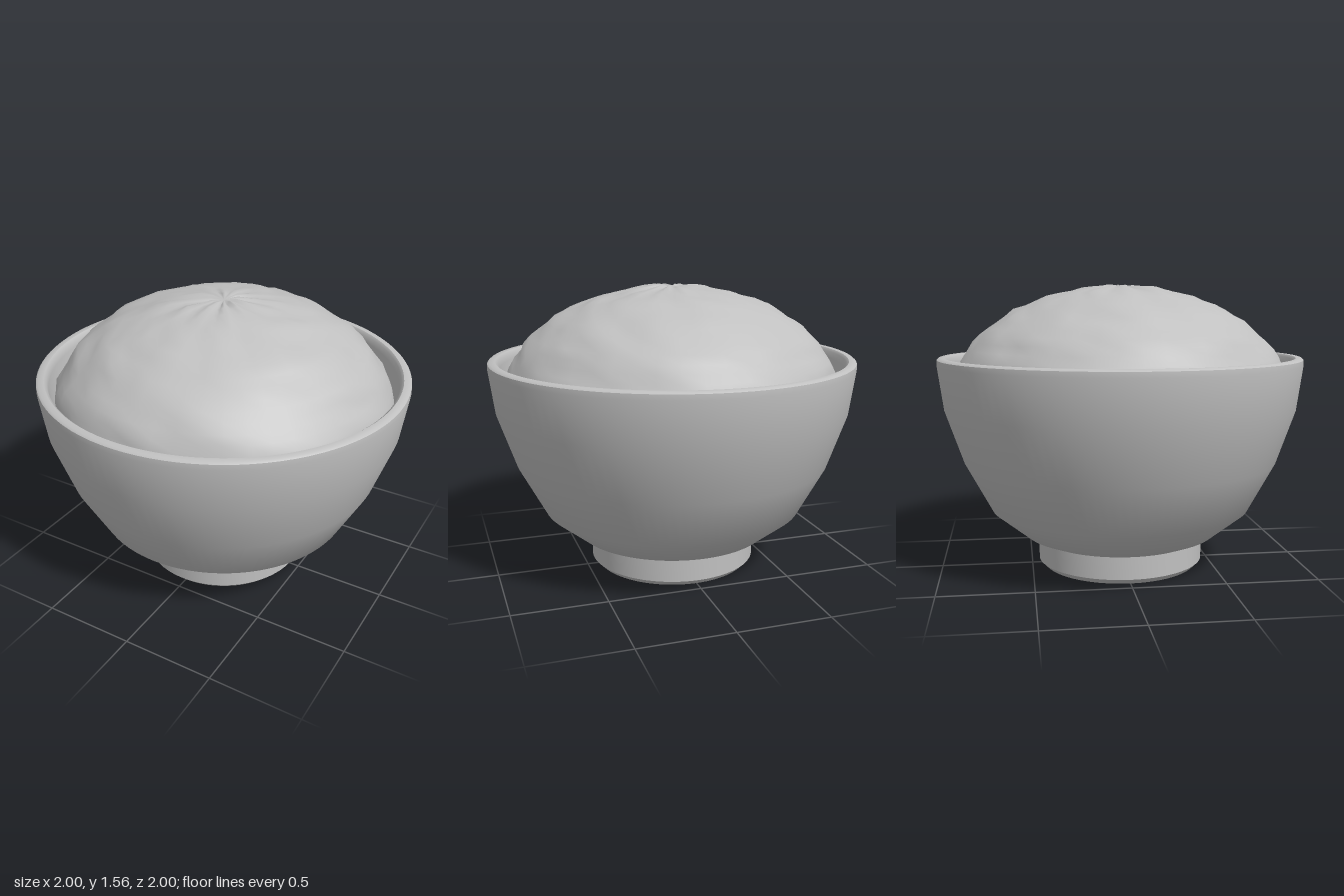
import * as THREE from 'three';
import { mergeVertices, toCreasedNormals } from 'three/addons/utils/BufferGeometryUtils.js';

const ceramicGrey = new THREE.MeshStandardMaterial({ color: 0xc0c0c0 });
ceramicGrey.name = 'ceramic grey';

function lathe(points) {
  const geometry = new THREE.LatheGeometry(points.map(([r, y]) => new THREE.Vector2(r, y)), 96);
  return toCreasedNormals(geometry, 0.7);
}

// Repeatable value from -1 to 1 for a grid cell
function hash(i, j) {
  const s = Math.sin(i * 127.1 + j * 311.7 + 5.3) * 43758.5453;
  return (s - Math.floor(s)) * 2 - 1;
}

// Flattened dome with lumps that gather into radial creases at the top
function lumpyMound() {
  const cols = 48, rows = 26;
  const geometry = new THREE.SphereGeometry(1, cols, rows, 0, Math.PI * 2, 0, Math.PI * 0.62);
  const pos = geometry.attributes.position;
  const noise = (c, r) => hash((c + cols) % cols, r);
  for (let r = 0; r <= rows; r++) {
    for (let c = 0; c <= cols; c++) {
      const i = r * (cols + 1) + c;
      // Blend neighbouring cells so that lumps stay soft and stretch downhill
      const lump = 0.45 * noise(c, r) + 0.2 * (noise(c - 1, r) + noise(c + 1, r)) + 0.4 * noise(c, r - 1);
      const crease = Math.cos(c / cols * Math.PI * 24) * Math.exp(-r / 5);
      const k = r === 0 ? 0.985 : 1 + 0.017 * lump + 0.012 * crease;
      pos.setXYZ(i, pos.getX(i) * 0.92 * k, 0.95 + pos.getY(i) * 0.6 * k, pos.getZ(i) * 0.92 * k);
    }
  }
  // Weld the seam and the pole for smooth shading
  geometry.deleteAttribute('uv');
  geometry.deleteAttribute('normal');
  const welded = mergeVertices(geometry, 1e-4);
  welded.computeVertexNormals();
  return welded;
}

export function createModel() {
  const model = new THREE.Group();
  model.name = 'filledBowl';
  const add = (name, geometry) => {
    const mesh = new THREE.Mesh(geometry, ceramicGrey);
    mesh.name = name;
    model.add(mesh);
  };

  // Foot with a bevelled lower edge and a closed base
  add('foot', lathe([[0, 0], [0.43, 0], [0.46, 0.03], [0.46, 0.155]]));

  // Outer wall, rounded rim and inner wall in one closed profile
  add('bowl', lathe([
    [0.455, 0.15], [0.54, 0.185], [0.72, 0.33], [0.865, 0.6], [0.965, 0.89],
    [0.998, 1.13], [0.996, 1.158], [0.985, 1.167], [0.955, 1.167], [0.942, 1.155],
    [0.935, 1.12], [0.9, 0.89], [0.8, 0.62], [0.66, 0.38], [0.48, 0.24], [0, 0.2],
  ]));

  // Heaped filling
  add('riceMound', lumpyMound());
  return model;
}
